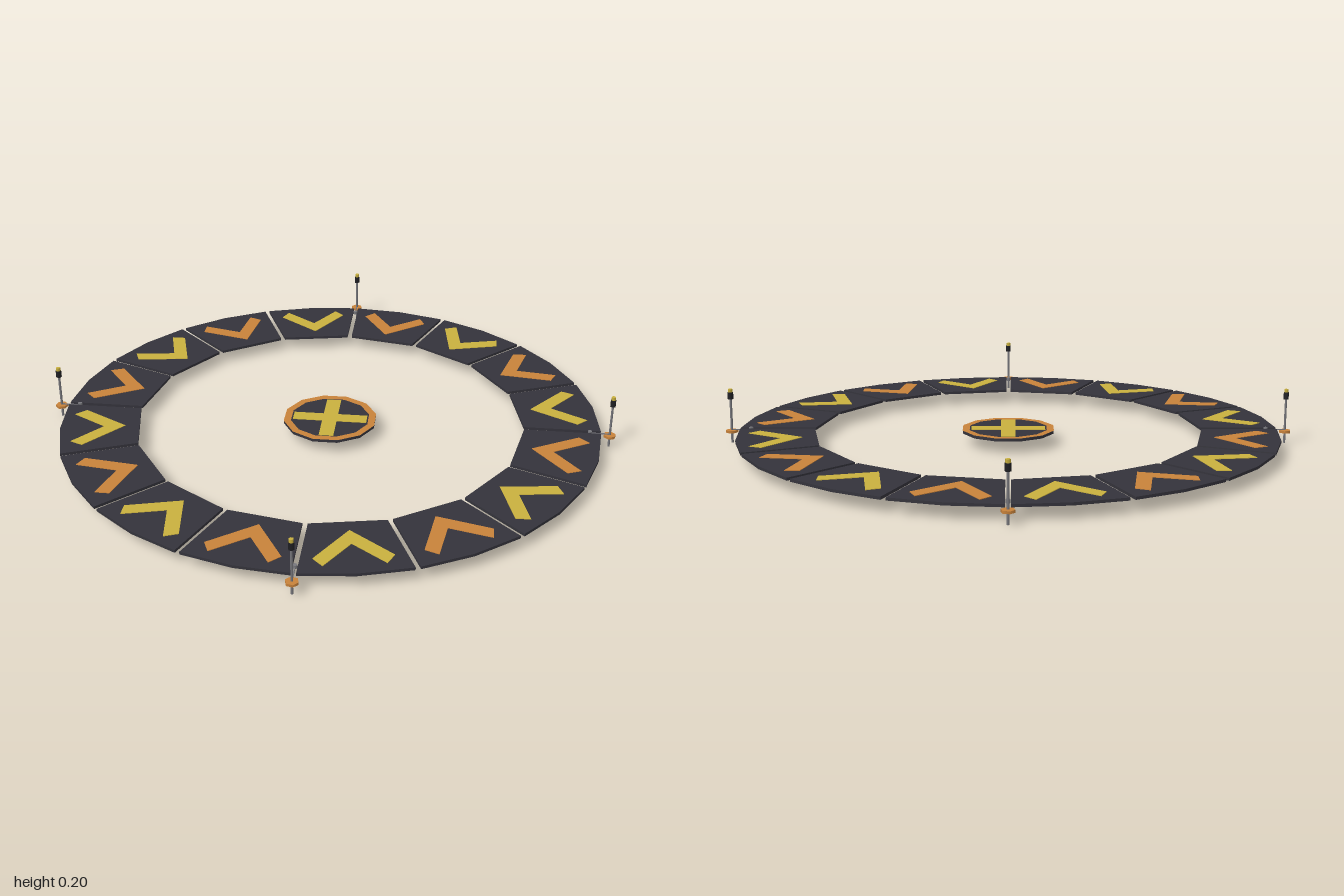
import * as THREE from 'three';

const mat = (name, color) => {
  const m = new THREE.MeshStandardMaterial({ color });
  m.name = name;
  return m;
};

export function createModel() {
  const root = new THREE.Group();
  root.name = 'landingRing';
  const dark = mat('charcoal', 0x34333b);
  const yellow = mat('yellow paint', 0xc9b03e);
  const orange = mat('orange paint', 0xc8823a);
  const steel = mat('grey steel', 0x77777c);
  const black = mat('black lamp housing', 0x1f1f23);

  const add = (parent, name, geo, m, x = 0, y = 0, z = 0) => {
    const mesh = new THREE.Mesh(geo, m);
    mesh.name = name;
    mesh.position.set(x, y, z);
    parent.add(mesh);
    return mesh;
  };
  // flat plate lying in the ground plane, from an outline of [radial, tangential] points
  const plate = (pts, depth) => {
    const shape = new THREE.Shape(pts.map(([u, t]) => new THREE.Vector2(u, t)));
    return new THREE.ExtrudeGeometry(shape, { depth, bevelEnabled: false }).rotateX(-Math.PI / 2);
  };

  // ring of sixteen deck panels with painted chevrons pointing inward
  const count = 16, half = Math.PI / count, gap = 0.009;
  const corner = (r, s) => [
    r * Math.cos(half) + gap * Math.sin(half),
    s * (r * Math.sin(half) - gap * Math.cos(half)),
  ];
  const panelGeo = plate([corner(0.72, -1), corner(1, -1), [1, 0], corner(1, 1), corner(0.72, 1)], 0.01);
  const chevronGeo = plate([
    [0.76, 0], [0.91, -0.131], [0.953, -0.102], [0.838, 0], [0.953, 0.102], [0.91, 0.131],
  ], 0.002);
  for (let i = 0; i < count; i++) {
    const segment = new THREE.Group();
    segment.name = 'ringSegment';
    segment.rotation.y = (2 * i + 1) * half;
    add(segment, 'deckPanel', panelGeo, dark, 0, 0.045, 0);
    add(segment, 'chevron', chevronGeo, i % 2 ? orange : yellow, 0, 0.055, 0);
    root.add(segment);
  }

  // centre target: twelve-sided disc, painted rim and crossed bars
  const centre = new THREE.Group();
  centre.name = 'centreTarget';
  add(centre, 'centreDisc', new THREE.CylinderGeometry(0.174, 0.174, 0.01, 12), dark, 0, 0.05, 0);
  add(centre, 'centreRim', new THREE.RingGeometry(0.148, 0.175, 12).rotateX(-Math.PI / 2), orange, 0, 0.0565, 0);
  for (const s of [-1, 1]) {
    const bar = add(centre, 'crossBar', new THREE.BoxGeometry(0.275, 0.002, 0.054), yellow, 0, 0.056 + s * 0.0002, 0);
    bar.rotation.y = s * Math.PI / 4;
  }
  root.add(centre);

  // four marker lamps just outside the ring, each tied to it by a short strut
  for (let i = 0; i < 4; i++) {
    const lamp = new THREE.Group();
    lamp.name = 'markerLamp';
    lamp.rotation.y = Math.PI / 4 + i * Math.PI / 2;
    const r = 1.032;
    const hex = (radius, h) => new THREE.CylinderGeometry(radius, radius, h, 6).rotateY(Math.PI / 4);
    add(lamp, 'lampPole', hex(0.0045, 0.17), steel, r, 0.085, 0);
    add(lamp, 'lampFlange', hex(0.023, 0.009), orange, r, 0.044, 0);
    add(lamp, 'lampHousing', hex(0.0105, 0.026), black, r, 0.179, 0);
    add(lamp, 'lampCap', hex(0.0085, 0.012), yellow, r, 0.198, 0);
    add(lamp, 'lampStrut', new THREE.BoxGeometry(0.075, 0.004, 0.004), steel, 0.995, 0.05, 0);
    add(lamp, 'strutPin', hex(0.008, 0.012), steel, 0.96, 0.053, 0);
    root.add(lamp);
  }
  return root;
}
